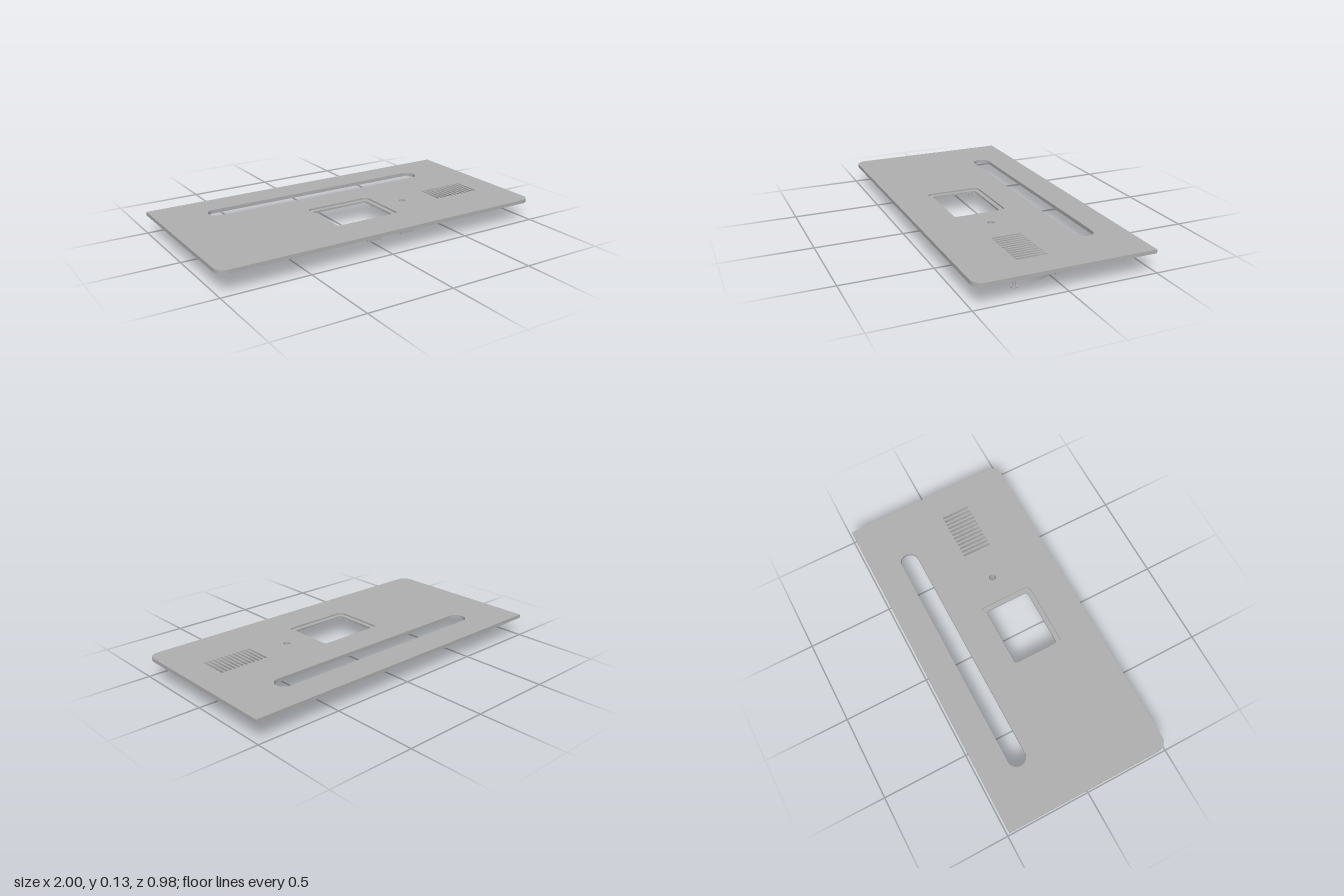
import * as THREE from 'three';
import { toCreasedNormals } from 'three/addons/utils/BufferGeometryUtils.js';

const BOTTOM = 0.109, STEP = 0.12, TOP = 0.13;

// Rectangle outline in plan (z pointing down the page), with back and front corner radii.
function rect(x0, x1, z0, z1, rBack = 0, rFront = rBack, Type = THREE.Path) {
  const p = new Type();
  const f = rFront, b = rBack;
  p.moveTo(x0 + f, -z1);
  p.lineTo(x1 - f, -z1);
  if (f) p.absarc(x1 - f, -z1 + f, f, -Math.PI / 2, 0, false);
  p.lineTo(x1, -z0 - b);
  if (b) p.absarc(x1 - b, -z0 - b, b, 0, Math.PI / 2, false);
  p.lineTo(x0 + b, -z0);
  if (b) p.absarc(x0 + b, -z0 - b, b, Math.PI / 2, Math.PI, false);
  p.lineTo(x0, -z1 + f);
  if (f) p.absarc(x0 + f, -z1 + f, f, Math.PI, Math.PI * 1.5, false);
  return p;
}

function circle(x, z, r, Type = THREE.Path) {
  const p = new Type();
  p.absarc(x, -z, r, 0, Math.PI * 2, false);
  return p;
}

// Upright extrusion of a plan shape between two heights.
function slab(shape, y0, y1, curveSegments = 16) {
  const g = new THREE.ExtrudeGeometry(shape, { depth: y1 - y0, bevelEnabled: false, curveSegments });
  g.rotateX(-Math.PI / 2);
  g.translate(0, y0, 0);
  return toCreasedNormals(g, 0.6);
}

export function createModel() {
  const group = new THREE.Group();
  const grey = new THREE.MeshStandardMaterial({ color: 0xb0b0b0 });
  grey.name = 'grey plastic';

  const add = (name, geometry) => {
    const mesh = new THREE.Mesh(geometry, grey);
    mesh.name = name;
    group.add(mesh);
    return mesh;
  };
  const box = (name, x0, x1, y0, z0, z1) => {
    const g = new THREE.BoxGeometry(x1 - x0, BOTTOM - y0, z1 - z0);
    g.translate((x0 + x1) / 2, (BOTTOM + y0) / 2, (z0 + z1) / 2);
    return add(name, g);
  };

  // Panel: two layers, so the window has a stepped recess and the corner holes are blind
  const openings = () => {
    const list = [rect(-0.717, 0.712, -0.322, -0.216, 0.052), circle(0.34, 0.115, 0.02)];
    for (let i = 0; i < 12; i++) {
      const x = 0.538 + i * 0.0253;
      list.push(rect(x, x + 0.0145, 0.032, 0.202, 0.006));
    }
    return list;
  };
  const panel = () => rect(-1, 1, -0.492, 0.49, 0, 0.058, THREE.Shape);

  const upper = panel();
  upper.holes.push(...openings(), rect(-0.215, 0.195, -0.043, 0.278, 0.03));
  add('panelTop', slab(upper, STEP, TOP));

  const lower = panel();
  lower.holes.push(...openings(), rect(-0.19, 0.168, -0.017, 0.252, 0.015));
  for (const x of [-0.935, 0.935]) {
    for (const z of [-0.448, 0.448]) lower.holes.push(circle(x, z, 0.018));
  }
  add('panelBottom', slab(lower, BOTTOM, STEP));

  // Speaker ring with a cable notch facing the front
  const sx = 0.685, sz = 0.122, R = 0.173, r = 0.16, gap = 0.16;
  const full = circle(sx, sz, R, THREE.Shape);
  full.holes.push(circle(sx, sz, r));
  add('speakerRing', slab(full, 0.06, BOTTOM, 64));

  const arc = new THREE.Shape();
  const a0 = -Math.PI / 2 + gap, a1 = Math.PI * 1.5 - gap;
  arc.absarc(sx, -sz, R, a0, a1, false);
  arc.absarc(sx, -sz, r, a1, a0, true);
  add('speakerRingNotched', slab(arc, 0.01, 0.06, 64));

  // Collar under the small round hole
  const collar = circle(0.34, 0.115, 0.031, THREE.Shape);
  collar.holes.push(circle(0.34, 0.115, 0.02));
  add('holeCollar', slab(collar, 0.08, BOTTOM));

  // Round posts with a wider foot
  const post = (name, x, z, y0, radius, foot, footHeight) => {
    const profile = [
      [0, y0], [foot, y0], [foot, y0 + footHeight], [radius, y0 + footHeight], [radius, BOTTOM], [0, BOTTOM],
    ].map(([a, b]) => new THREE.Vector2(a, b));
    const g = toCreasedNormals(new THREE.LatheGeometry(profile, 20), 0.6);
    g.translate(x, 0, z);
    add(name, g);
  };
  for (let i = 0; i < 3; i++) {
    const a = Math.PI / 6 + (i * Math.PI * 2) / 3;
    post('speakerPost', sx + 0.197 * Math.cos(a) * 0.99, sz + 0.197 * Math.sin(a), 0, 0.01, 0.017, 0.006);
  }
  for (const x of [-0.77, 0.77]) post('rearPost', x, -0.272, 0.048, 0.01, 0.017, 0.006);
  for (const x of [-0.237, 0.22]) {
    for (const z of [-0.008, 0.246]) post('screenPost', x, z, 0.078, 0.009, 0.013, 0.006);
  }

  // Locating tabs around the rim
  for (const s of [-1, 1]) {
    const cx = s * 0.975;
    box('sideTab', cx - 0.007, cx + 0.007, 0.09, -0.02, 0.065);
    box('rearTab', s * 0.672 - 0.043, s * 0.672 + 0.043, 0.09, -0.477, -0.463);
    const fx = s * 0.107 + 0.005;
    box('frontTab', fx - 0.043, fx + 0.043, 0.09, 0.46, 0.474);
  }

  // Small blocks near the front edge
  box('block', -0.343, -0.288, 0.084, 0.385, 0.43);
  box('block', -0.717, -0.662, 0.083, 0.34, 0.385);
  box('block', -0.615, -0.56, 0.082, 0.3, 0.345);

  return group;
}
